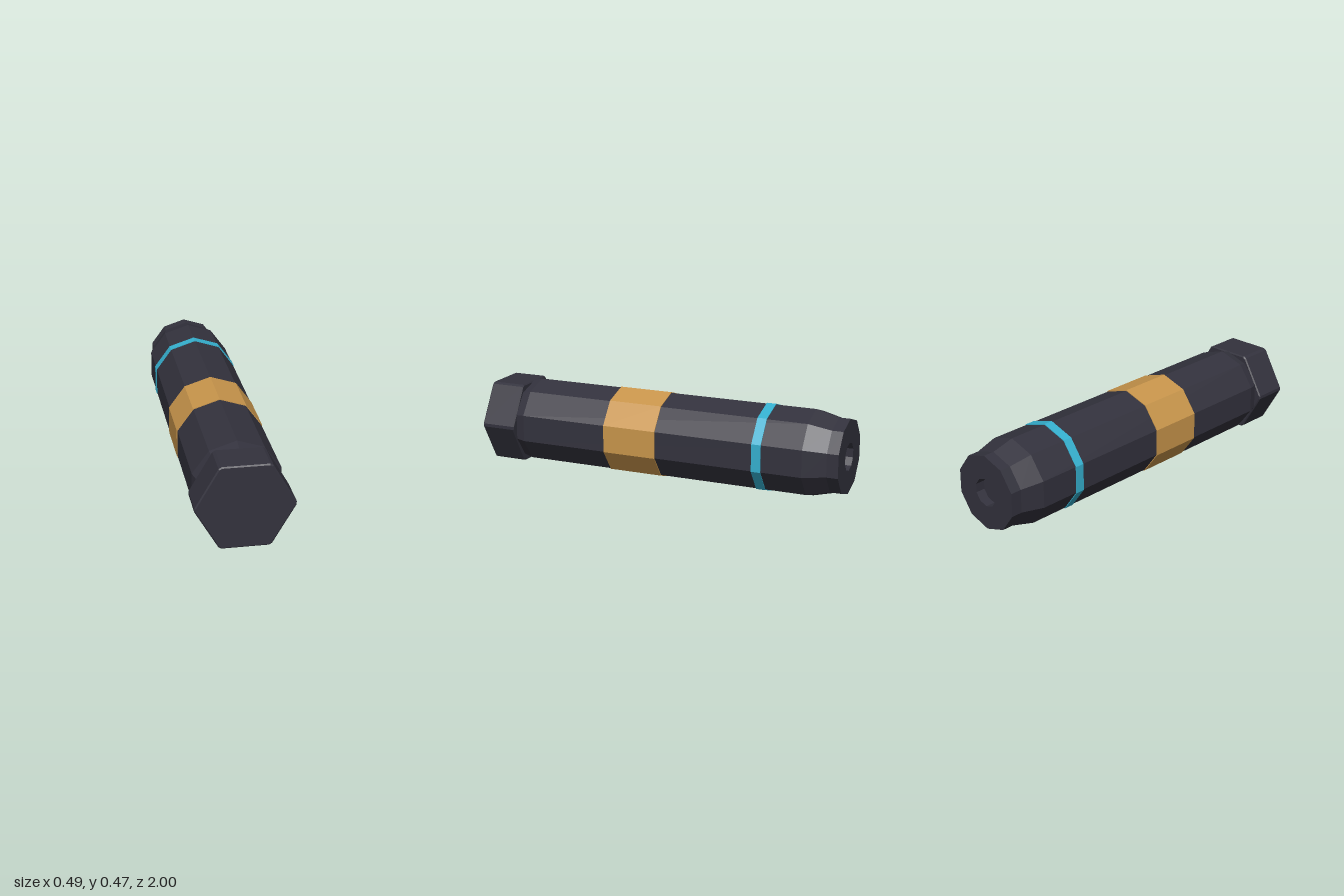
import * as THREE from 'three';

const AXIS_Y = 0.237; // height of the long axis
const SIDES = 10;

const dark = new THREE.MeshStandardMaterial({ color: 0x33323d });
dark.name = 'dark casing';
const gold = new THREE.MeshStandardMaterial({ color: 0xc8954b });
gold.name = 'gold band';
const cyan = new THREE.MeshStandardMaterial({ color: 0x35b0cf });
cyan.name = 'cyan stripe';

// Faceted mesh with one normal per face
function faceted(geometry, material, name) {
  const flat = geometry.index ? geometry.toNonIndexed() : geometry;
  flat.computeVertexNormals();
  const mesh = new THREE.Mesh(flat, material);
  mesh.name = name;
  mesh.position.y = AXIS_Y;
  return mesh;
}

// Ten-sided solid turned about the z axis from [radius, z] pairs
function turned(profile, material, name) {
  const points = profile.map(([r, z]) => new THREE.Vector2(r, z));
  const geometry = new THREE.LatheGeometry(points, SIDES);
  geometry.rotateX(Math.PI / 2);
  return faceted(geometry, material, name);
}

function ring(z0, z1, material, name) {
  const inner = 0.226, outer = 0.234;
  return turned([[inner, z0], [outer, z0], [outer, z1], [inner, z1]], material, name);
}

// Hexagon with clipped corners
function hexShape(radius, clip) {
  const corners = [];
  for (let i = 0; i < 6; i++) {
    const a = (i * Math.PI) / 3;
    corners.push(new THREE.Vector2(Math.cos(a) * radius, Math.sin(a) * radius));
  }
  const points = [];
  corners.forEach((c, i) => {
    points.push(c.clone().lerp(corners[(i + 5) % 6], clip));
    points.push(c.clone().lerp(corners[(i + 1) % 6], clip));
  });
  return new THREE.Shape(points);
}

export function createModel() {
  const model = new THREE.Group();
  model.name = 'tube';

  // Body with a shallow socket in the narrowed tail
  model.add(turned([
    [0, -0.95], [0.074, -0.95], [0.074, -1], [0.199, -1], [0.199, -0.94],
    [0.23, -0.82], [0.23, 0.76], [0.214, 0.815], [0, 0.815],
  ], dark, 'body'));

  // Coloured bands
  model.add(ring(-0.02, 0.275, gold, 'wideBand'));
  model.add(ring(-0.605, -0.555, cyan, 'narrowBand'));

  // Hexagonal end cap
  const bevel = 0.006;
  const cap = new THREE.ExtrudeGeometry(hexShape(0.248, 0.04), {
    depth: 0.19 - 2 * bevel,
    bevelEnabled: true,
    bevelSegments: 1,
    bevelThickness: bevel,
    bevelSize: bevel,
    bevelOffset: -bevel,
  });
  cap.translate(0, 0, 0.81 + bevel);
  model.add(faceted(cap, dark, 'hexCap'));

  return model;
}
